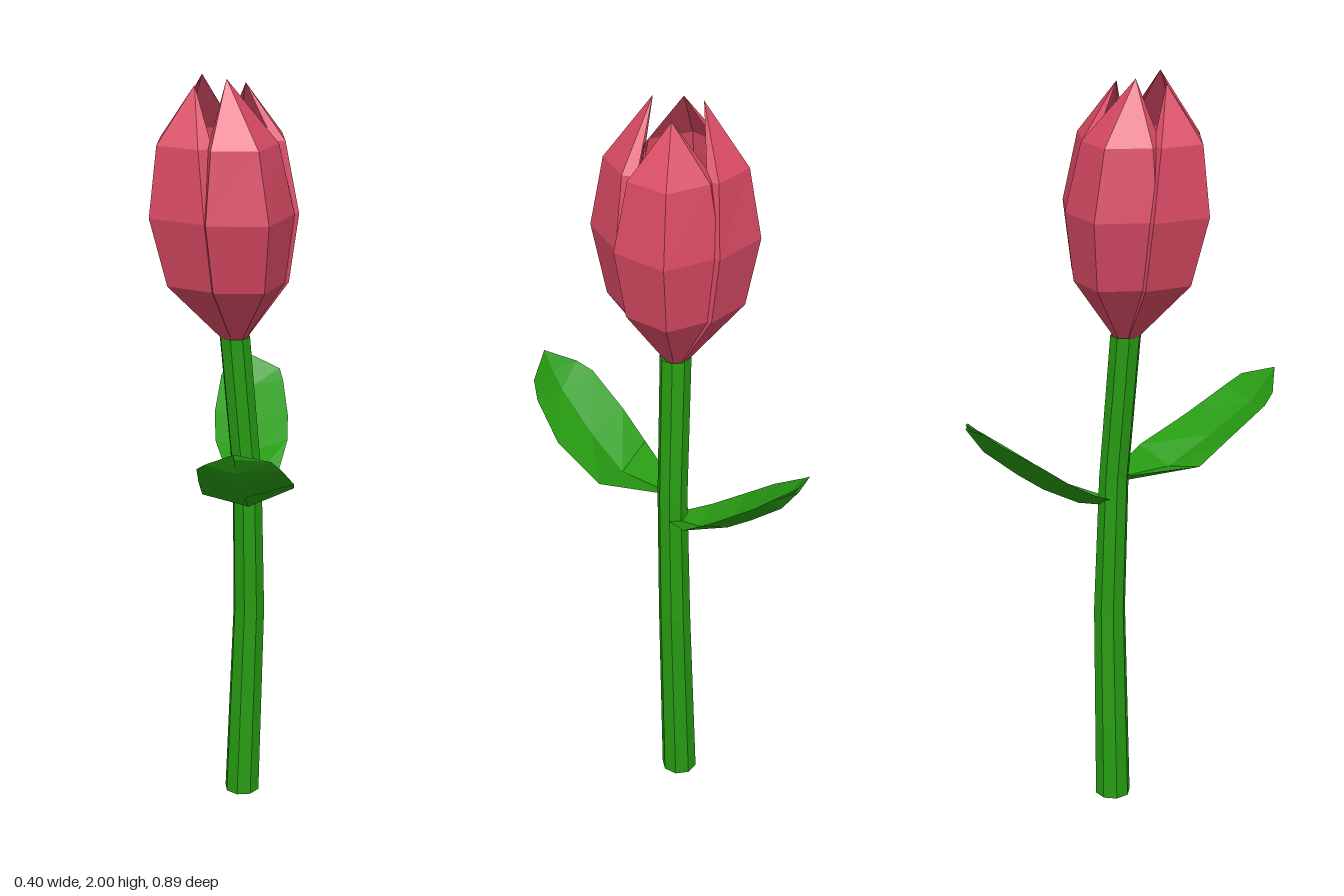
import * as THREE from 'three';

const GREEN = 0x279c12, ROSE = 0xd94a64;

// Faceted surface through rows of [x, y, z] points
function loft(rows, color, name) {
  const pos = [];
  for (let i = 0; i < rows.length - 1; i++) {
    for (let j = 0; j < rows[i].length - 1; j++) {
      const a = rows[i][j], b = rows[i][j + 1], c = rows[i + 1][j + 1], d = rows[i + 1][j];
      pos.push(...a, ...d, ...b, ...b, ...d, ...c);
    }
  }
  const geo = new THREE.BufferGeometry();
  geo.setAttribute('position', new THREE.Float32BufferAttribute(pos, 3));
  geo.computeVertexNormals();
  const mesh = new THREE.Mesh(geo, new THREE.MeshStandardMaterial({
    color, flatShading: true, side: THREE.DoubleSide,
  }));
  mesh.name = name;
  return mesh;
}

// Point at a polar angle (degrees, from +x towards +z) around a centre
function polar([cx, y, cz], r, deg) {
  const a = THREE.MathUtils.degToRad(deg);
  return [cx + r * Math.cos(a), y, cz + r * Math.sin(a)];
}

// Curved eight-sided stem: [centre, radius] per ring, closed at the foot
function makeStem() {
  const rings = [
    [[0.05, 0, -0.047], 0],
    [[0.05, 0, -0.047], 0.048],
    [[0.067, 0.55, -0.043], 0.043],
    [[0.06, 0.93, -0.032], 0.04],
    [[0.025, 1.325, -0.018], 0.041],
  ];
  const rows = rings.map(([c, r]) => Array.from({ length: 9 }, (_, k) => polar(c, r, 22.5 + k * 45)));
  return loft(rows, GREEN, 'stem');
}

// One petal: a ridge in the middle, one edge outside and the other tucked in
function makePetal(ridge, tip, name) {
  // centre, ridge radius, angular width
  const levels = [
    [[0.025, 1.305, -0.018], 0, 1],
    [[0.025, 1.32, -0.018], 0.035, 1],
    [[0.01, 1.48, -0.008], 0.175, 1],
    [[0, 1.66, 0], 0.213, 1],
    [[-0.01, 1.84, 0.005], 0.18, 0.88],
  ];
  // angle from the ridge, share of the radius
  const columns = [[-60, 0.7], [-46, 0.83], [0, 1], [45, 0.88], [51, 0.72]];
  const rows = levels.map(([c, r, w]) => columns.map(([a, s]) => polar(c, r * s, ridge + a * w)));
  rows.push(columns.map(() => tip));
  return loft(rows, ROSE, name);
}

// Leaf folded along its midrib: each row is [left, midrib, right]
function makeLeaf(rows, name) {
  const group = new THREE.Group();
  group.name = name;
  const under = rows.map((row) => row.map(([x, y, z], j) => [x, y - (j === 1 ? 0.012 : 0), z]));
  group.add(loft(rows, GREEN, name + 'Top'), loft(under, GREEN, name + 'Underside'));
  return group;
}

export function createModel() {
  const model = new THREE.Group();
  model.name = 'flower';
  model.add(makeStem());

  // Four overlapping petals
  [
    [66, [-0.005, 2, 0.068]],
    [159, [-0.08, 1.98, 0.03]],
    [246, [-0.055, 1.995, -0.045]],
    [333, [0.052, 1.975, -0.025]],
  ].forEach(([ridge, tip], i) => model.add(makePetal(ridge, tip, 'petal' + (i + 1))));

  model.add(makeLeaf([
    [[0.03, 0.935, -0.02], [0.055, 0.925, -0.02], [0.08, 0.935, -0.02]],
    [[-0.075, 0.955, 0.15], [0.045, 0.925, 0.14], [0.163, 0.955, 0.13]],
    [[-0.092, 1.02, 0.235], [0.022, 0.995, 0.26], [0.145, 1.02, 0.275]],
    [[-0.106, 1.095, 0.345], [-0.008, 1.075, 0.375], [0.1, 1.095, 0.375]],
    [[-0.09, 1.12, 0.385], [-0.016, 1.115, 0.41], [0.07, 1.13, 0.408]],
    [[-0.025, 1.165, 0.445], [-0.025, 1.165, 0.445], [-0.025, 1.165, 0.445]],
  ], 'frontLeaf'));

  model.add(makeLeaf([
    [[0.1, 0.87, -0.05], [0.07, 0.86, -0.05], [0.04, 0.87, -0.05]],
    [[0.155, 0.905, -0.13], [0.085, 0.88, -0.13], [0.015, 0.91, -0.13]],
    [[0.19, 0.97, -0.21], [0.1, 0.935, -0.23], [-0.007, 0.97, -0.225]],
    [[0.198, 1.02, -0.275], [0.105, 0.99, -0.305], [0, 1.03, -0.305]],
    [[0.196, 1.09, -0.37], [0.118, 1.07, -0.4], [0.027, 1.1, -0.405]],
    [[0.19, 1.115, -0.4], [0.12, 1.14, -0.45], [0.05, 1.13, -0.438]],
  ], 'backLeaf'));

  return model;
}
